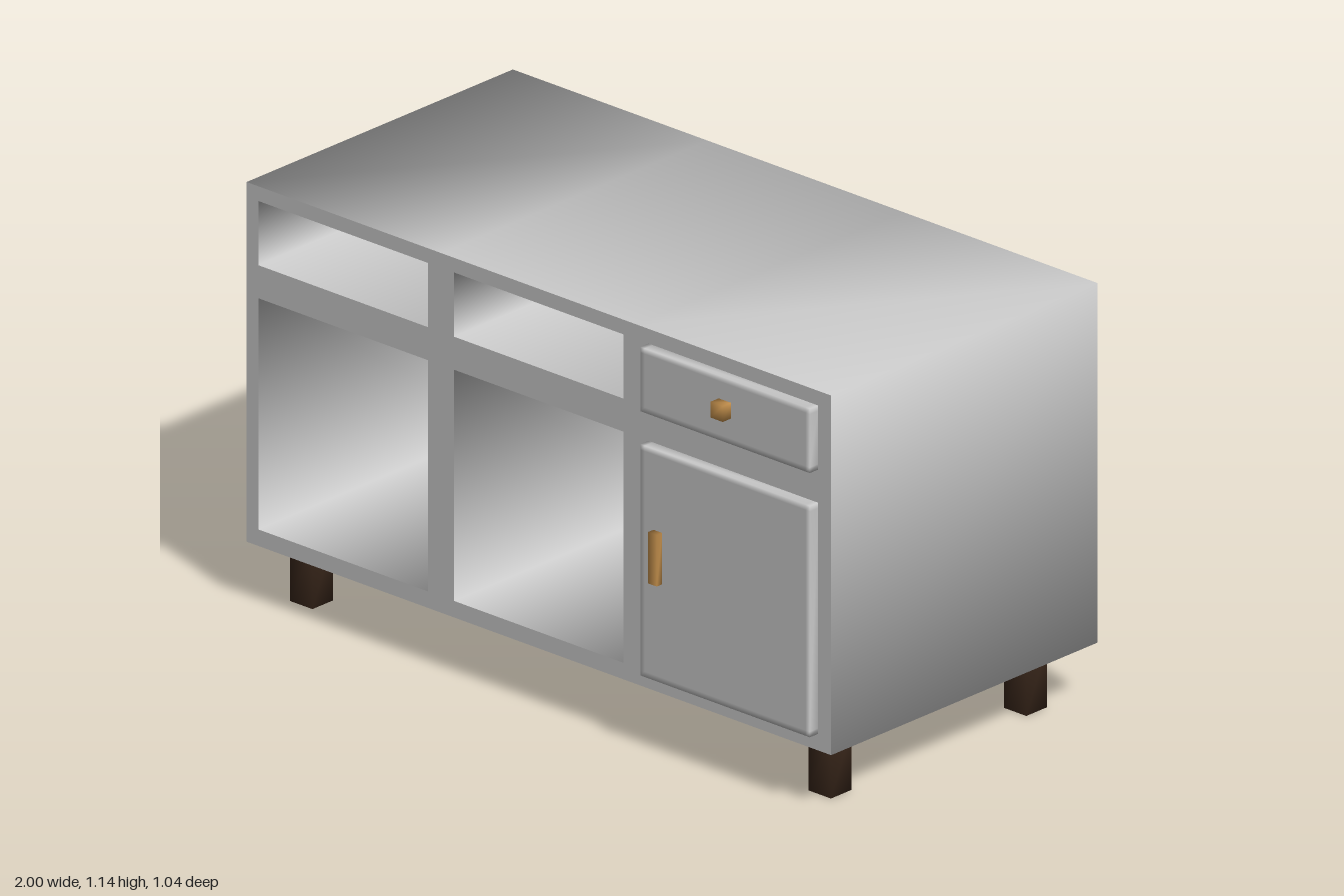
import * as THREE from 'three';
import { mergeVertices } from 'three/addons/utils/BufferGeometryUtils.js';

const grey = new THREE.MeshStandardMaterial({ color: 0xcccccc });
const wood = new THREE.MeshStandardMaterial({ color: 0x38261a });
const brass = new THREE.MeshStandardMaterial({ color: 0xcc9650 });

// Joins the corners of a geometry so that it shades smoothly
function smooth(geometry) {
  geometry.deleteAttribute('normal');
  geometry.deleteAttribute('uv');
  const merged = mergeVertices(geometry);
  merged.computeVertexNormals();
  return merged;
}

function add(parent, name, geometry, material) {
  const mesh = new THREE.Mesh(geometry, material);
  mesh.name = name;
  parent.add(mesh);
  return mesh;
}

// Smooth-shaded box between two corners
function boxBetween(x0, x1, y0, y1, z0, z1, columns = 1) {
  const g = new THREE.BoxGeometry(x1 - x0, y1 - y0, z1 - z0, columns, 1, 1);
  return g.translate((x0 + x1) / 2, (y0 + y1) / 2, (z0 + z1) / 2);
}

// Box without its front face; inward turns it into the lining of a recess
function openBox(geometry, inward) {
  const front = geometry.groups[4];
  const index = Array.from(geometry.index.array);
  index.splice(front.start, front.count);
  if (inward) index.reverse();
  geometry.setIndex(index);
  geometry.clearGroups();
  return smooth(geometry);
}

// Slab whose front has a flat field and a soft narrow rim
function panel({ x0, x1, y0, y1 }, z0, z1, rim) {
  const w = x1 - x0, h = y1 - y0;
  const g = new THREE.BoxGeometry(w, h, z1 - z0, 3, 3, 1);
  const p = g.attributes.position;
  for (let i = 0; i < p.count; i++) {
    const x = p.getX(i), y = p.getY(i);
    if (Math.abs(x) < w * 0.4) p.setX(i, Math.sign(x) * (w / 2 - rim));
    if (Math.abs(y) < h * 0.4) p.setY(i, Math.sign(y) * (h / 2 - rim));
  }
  return smooth(g).translate((x0 + x1) / 2, (y0 + y1) / 2, (z0 + z1) / 2);
}

export function createModel() {
  const model = new THREE.Group();
  model.name = 'sideboard';

  const bottom = 0.165, top = 1.145, front = 0.46, back = -0.52;
  const columns = [[-0.96, -0.38], [-0.29, 0.29], [0.375, 0.955]];
  const rows = { shelf: [0.21, 0.84], drawer: [0.93, 1.105] };

  // Cabinet shell
  const cabinet = new THREE.Group();
  cabinet.name = 'cabinet';
  model.add(cabinet);
  add(cabinet, 'shell', openBox(boxBetween(-1, 1, bottom, top, back, front, 3), false), grey);

  // Front frame with a lined recess behind each opening
  const frame = new THREE.Shape([
    new THREE.Vector2(-1, bottom), new THREE.Vector2(1, bottom),
    new THREE.Vector2(1, top), new THREE.Vector2(-1, top),
  ]);
  for (const [x0, x1] of columns.slice(0, 2)) {
    for (const [name, [y0, y1]] of Object.entries(rows)) {
      frame.holes.push(new THREE.Path([
        new THREE.Vector2(x0, y0), new THREE.Vector2(x0, y1),
        new THREE.Vector2(x1, y1), new THREE.Vector2(x1, y0),
      ]));
      const lining = boxBetween(x0, x1, y0, y1, back + 0.05, front);
      add(cabinet, name + 'Recess', openBox(lining, true), grey);
    }
  }
  add(cabinet, 'frontFrame', new THREE.ShapeGeometry(frame).translate(0, 0, front), grey);

  // Door and drawer front
  const [x0, x1] = columns[2];
  const face = 0.49;
  for (const [name, row] of [['door', rows.shelf], ['drawerFront', rows.drawer]]) {
    add(model, name, panel({ x0, x1, y0: row[0], y1: row[1] }, front, face, 0.015), grey);
  }

  // Handles
  add(model, 'doorHandle', smooth(boxBetween(0.42, 0.45, 0.48, 0.62, face, 0.51)), brass);
  add(model, 'drawerKnob', smooth(boxBetween(0.643, 0.685, 1.0, 1.043, face, 0.52)), brass);

  // Legs
  for (const x of [-0.887, 0.887]) {
    for (const [name, z] of [['frontLeg', 0.342], ['backLeg', -0.377]]) {
      const leg = boxBetween(x - 0.038, x + 0.038, 0, bottom, z - 0.038, z + 0.038);
      add(model, name, smooth(leg), wood);
    }
  }

  return model;
}
